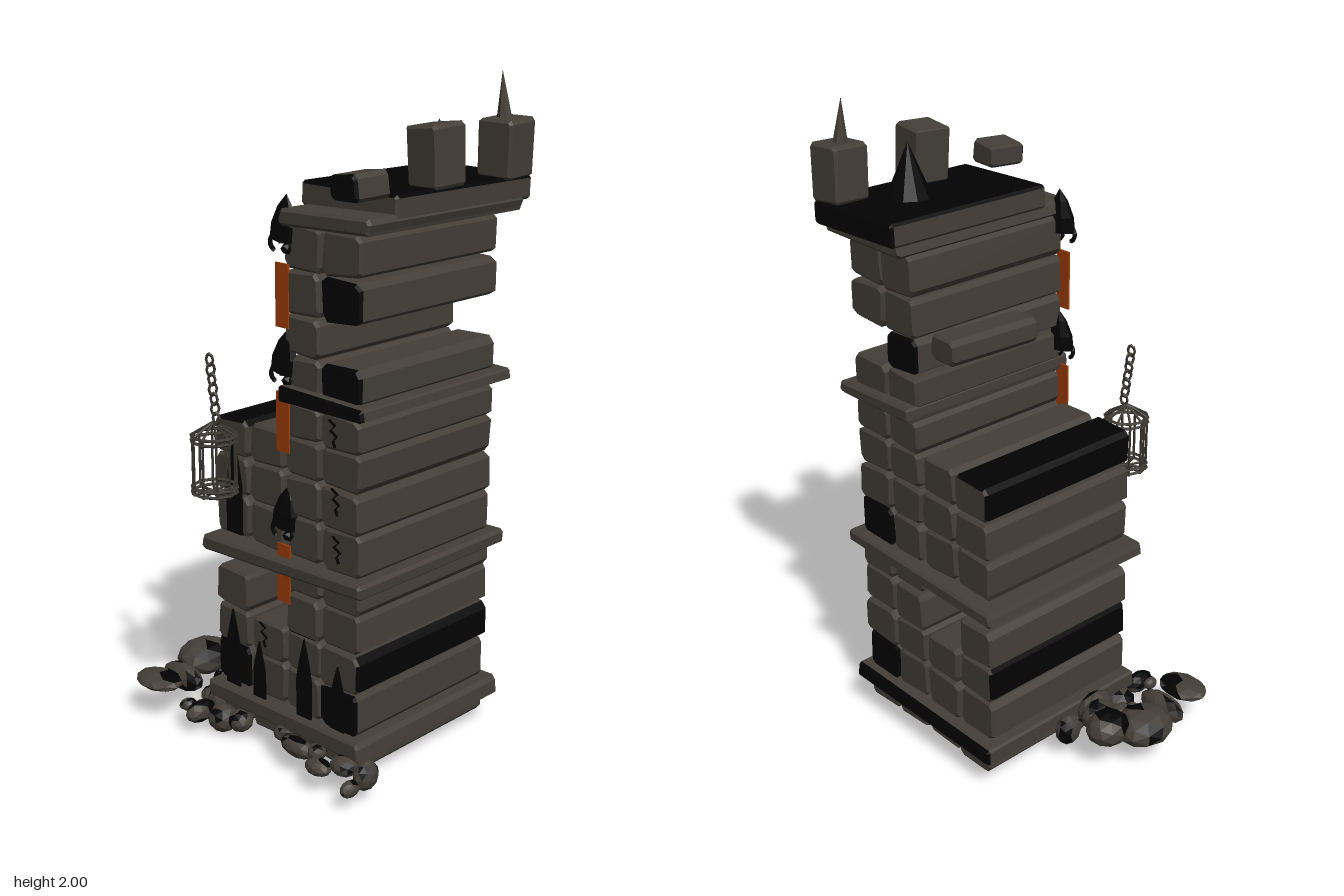
import * as THREE from 'three';
import { mergeGeometries } from 'three/addons/utils/BufferGeometryUtils.js';

const mat = (name, color, side = THREE.FrontSide) => {
  const m = new THREE.MeshStandardMaterial({ color, side, flatShading: true });
  m.name = name;
  return m;
};

export function createModel() {
  const root = new THREE.Group();
  root.name = 'ruinedTower';
  const stone = mat('stone', 0x443e37);
  const dark = mat('darkStone', 0x020202, THREE.DoubleSide);
  const iron = mat('iron', 0x38332d);
  const cloth = mat('orangeCloth', 0xa03c08, THREE.DoubleSide);

  let seed = 7;
  const rnd = () => (seed = (seed * 16807) % 2147483647) / 2147483647;
  const jit = (a) => (rnd() - 0.5) * 2 * a;

  const add = (name, geo, material, x = 0, y = 0, z = 0) => {
    const m = new THREE.Mesh(geo, material);
    m.name = name;
    m.position.set(x, y, z);
    root.add(m);
    return m;
  };

  // Dark faces: those whose normal lies close to one of the given directions
  const paint = (geo, dirs, limit = 0.6) => {
    const g = geo.index ? geo.toNonIndexed() : geo;
    g.clearGroups();
    const p = g.attributes.position, t = new THREE.Triangle(), n = new THREE.Vector3();
    for (let i = 0; i < p.count; i += 3) {
      t.setFromAttributeAndIndices(p, i, i + 1, i + 2).getNormal(n);
      g.addGroup(i, 3, dirs.some((d) => n.dot(d) > limit) ? 1 : 0);
    }
    return g;
  };
  const AXIS = { R: [1, 0, 0], L: [-1, 0, 0], T: [0, 1, 0], U: [0, -1, 0], F: [0, 0, 1], B: [0, 0, -1] };
  const dirs = (s) => [...s].map((k) => new THREE.Vector3(...AXIS[k]));

  // Rough stone running front to back, with chipped edges
  const bar = (name, x0, x1, y0, y1, z0, z1, faces = '', c = 0.02, j = 0.005) => {
    const w = (x1 - x0) / 2, h = (y1 - y0) / 2, b = 0.008;
    const pts = [[w - c, -h], [w, -h + c], [w, h - c], [w - c, h], [-w + c, h], [-w, h - c], [-w, -h + c], [-w + c, -h]]
      .map(([x, y]) => new THREE.Vector2(x + jit(j), y + jit(j)));
    const depth = z1 - z0 - 2 * b;
    const g = new THREE.ExtrudeGeometry(new THREE.Shape(pts), {
      depth, bevelThickness: b, bevelSize: b, bevelOffset: -b, bevelSegments: 1 });
    g.translate(0, 0, -depth / 2);
    return add(name, paint(g, dirs(faces)), [stone, dark], (x0 + x1) / 2, (y0 + y1) / 2, (z0 + z1) / 2);
  };

  // Courses: four columns of long stones; null leaves a gap
  const cols = [[-0.19, -0.05], [-0.04, 0.1], [0.11, 0.245], [0.25, 0.395]];
  const courses = [
    [0.05, 0.12, '', '', '', ''],
    [0.165, 0.29, 'F', '', '', 'FB'],
    [0.295, 0.412, 'L', '', '', 'R'],
    [0.415, 0.535, '', null, 'U', ''],
    [0.54, 0.612, null, null, '', ''],
    [0.65, 0.775, '', '', '', 'B'],
    [0.78, 0.895, '', '', '', ''],
    [0.9, 1.01, 'TL', '', '', ''],
    [1.01, 1.11, null, null, '', ''],
    [1.145, 1.245, null, null, '', 'F'],
    [1.25, 1.36, null, null, 'B', null],
    [1.365, 1.485, null, null, '', 'F'],
    [1.49, 1.61, null, null, '', ''],
  ];
  courses.forEach(([y0, y1, ...f]) => cols.forEach(([x0, x1], i) => {
    if (f[i] !== null) bar('wallStone', x0, x1, y0, y1, -0.335 + jit(0.006), 0.235 + jit(0.004), f[i], 0.015);
  }));
  bar('looseStone', -0.02, 0.095, 1.3, 1.385, -0.29, 0.02).rotation.y = -0.05;

  // Projecting ledges and the roof slab
  bar('baseLedge', -0.21, 0.43, 0.1, 0.16, -0.365, 0.265, 'B', 0.01).rotation.z = 0.02;
  bar('middleLedge', -0.225, 0.435, 0.593, 0.64, -0.365, 0.27, '', 0.01).rotation.z = 0.045;
  bar('upperLedge', 0.11, 0.435, 1.115, 1.16, -0.365, 0.27, 'F', 0.01).rotation.z = -0.02;
  bar('roofLedge', 0.115, 0.45, 1.61, 1.655, -0.375, 0.265, '', 0.01).rotation.z = 0.03;
  bar('roofSlab', 0.097, 0.452, 1.645, 1.715, -0.408, 0.16, 'TB', 0.009, 0.001).rotation.z = -0.015;

  // Broken battlements and roof spikes
  [[0.405, 1.79, -0.343, 0.115, 0.16, 0.12, '', 0.06], [0.4, 1.793, -0.05, 0.115, 0.165, 0.12, '', -0.04],
    [0.4, 1.742, 0.245, 0.105, 0.07, 0.12, 'F', -0.08]].forEach(([x, y, z, w, h, d, f, r]) => {
    const m = bar('battlement', x - w / 2, x + w / 2, y - h / 2, y + h / 2, z - d / 2, z + d / 2, f, 0.009, 0.004);
    m.rotation.set(0.04, r, -r);
  });
  const spike = new THREE.ConeGeometry(0.024, 0.14, 7);
  spike.translate(0, 0.07, 0);
  add('roofSpike', spike, stone, 0.4, 1.86, -0.34).rotation.z = 0.1;
  add('darkRoofCone', new THREE.ConeGeometry(0.068, 0.16, 10), dark, 0.285, 1.79, -0.195);

  // Orange banners beneath dark hooded brackets
  [[1.32, 1.5, 1.56, 1.69], [0.96, 1.135, 1.19, 1.315], [0.5, 0.68, 0.73, 0.86]].forEach(([y0, y1, h0, h1]) => {
    add('banner', new THREE.BoxGeometry(0.05, y1 - y0, 0.006), cloth, 0.105, (y0 + y1) / 2, 0.238);
    const hood = new THREE.LatheGeometry([[0.047, 0], [0.046, 0.35], [0.028, 0.72], [0, 1]]
      .map(([r, y]) => new THREE.Vector2(r, y * (h1 - h0))), 7);
    hood.scale(1, 1, 0.5);
    add('bannerHood', hood, dark, 0.1, h0, 0.23).rotation.z = -0.12;
    add('bannerHook', new THREE.TorusGeometry(0.022, 0.007, 5, 9, 4.4), dark, 0.085, h0 - 0.005, 0.243);
    add('bannerKnob', new THREE.IcosahedronGeometry(0.017, 0), dark, 0.125, h0 - 0.018, 0.24);
  });

  // Pointed windows as thin plates
  [[-0.115, 0.16, 0.41, 0.06], [0, 0.14, 0.34, 0.05], [0.19, 0.15, 0.41, 0.06], [0.325, 0.17, 0.37, 0.055],
    [-0.1, 0.66, 0.96, 0.065]].forEach(([x, y0, y1, w]) => {
    const h = y1 - y0, s = new THREE.Shape();
    s.moveTo(-w / 2, 0).lineTo(w / 2, 0).lineTo(w / 2, h * 0.5);
    s.quadraticCurveTo(w * 0.3, h * 0.75, 0, h).quadraticCurveTo(-w * 0.3, h * 0.75, -w / 2, h * 0.5);
    add('pointedWindow', new THREE.ExtrudeGeometry(s, { depth: 0.006, bevelEnabled: false, curveSegments: 4 }),
      dark, x, y0, 0.239);
  });

  // Cracks: upright zigzag ribbons
  [[0.305, 1.06], [0.315, 0.865], [0.32, 0.725], [0.02, 0.37]].forEach(([x, y]) => {
    const zig = [[-0.012, 0.038], [0.012, 0.024], [-0.006, 0.008], [0.018, -0.006], [0.004, -0.02], [0.012, -0.038]];
    const s = new THREE.Shape([...zig, ...zig.slice().reverse().map(([a, b]) => [a - 0.011, b - 0.005])]
      .map(([a, b]) => new THREE.Vector2(a, b)));
    add('crack', new THREE.ShapeGeometry(s), dark, x, y, 0.242);
  });

  // Hanging cage with its chain
  const cage = new THREE.Group();
  cage.name = 'hangingCage';
  cage.position.set(-0.08, 0, 0.335);
  root.add(cage);
  const parts = [], N = 10, R = 0.064;
  const rod = (a, b, r) => parts.push(new THREE.TubeGeometry(new THREE.LineCurve3(a, b), 1, r, 5).toNonIndexed());
  [0.82, 0.835, 0.975, 0.99].forEach((y) => {
    const g = new THREE.TorusGeometry(R, 0.008, 4, N);
    g.rotateX(Math.PI / 2).scale(1, 0.6, 1).translate(0, y, 0);
    parts.push(g.toNonIndexed());
  });
  for (let i = 0; i < N; i++) {
    const a = (i / N) * Math.PI * 2, x = R * Math.cos(a), z = R * Math.sin(a);
    rod(new THREE.Vector3(x, 0.815, z), new THREE.Vector3(x, 0.99, z), 0.004);
    rod(new THREE.Vector3(x, 0.99, z), new THREE.Vector3(0, 1.03, 0), 0.004);
    rod(new THREE.Vector3(x, 0.82, z), new THREE.Vector3(0, 0.82, 0), 0.004);
  }
  for (let i = 0; i < 7; i++) {
    const g = new THREE.TorusGeometry(0.013, 0.0045, 5, 8);
    g.scale(0.9, 1.25, 1).rotateY(i % 2 ? 1.1 : 0.3);
    g.translate(0.012 - i * 0.004, 1.042 + i * 0.028, 0);
    parts.push(g.toNonIndexed());
  }
  const cageMesh = new THREE.Mesh(mergeGeometries(parts), iron);
  cageMesh.name = 'cageAndChain';
  cage.add(cageMesh);

  // Rubble: centre and half sizes of each boulder, then how far its dark patches spread
  [[-0.398, 0.115, 0.112, 0.088, 0.055, 0.098], [-0.355, 0.14, -0.003, 0.065, 0.055, 0.073, 0.5],
    [-0.357, 0.1, 0.243, 0.087, 0.045, 0.038], [-0.355, 0.125, 0.342, 0.086, 0.024, 0.064],
    [-0.28, 0.13, 0.03, 0.045, 0.05, 0.06], [-0.28, 0.08, 0.13, 0.035, 0.04, 0.05], [-0.24, 0.12, 0.06, 0.04, 0.06, 0.07],
    [-0.24, 0.1, -0.06, 0.035, 0.05, 0.045], [-0.265, 0.06, 0.308, 0.018, 0.018, 0.027],
    [-0.185, 0.07, 0.32, 0.03, 0.035, 0.055, 0.5], [-0.225, 0.08, 0.33, 0.02, 0.022, 0.025],
    [-0.14, 0.045, 0.27, 0.05, 0.045, 0.045], [-0.08, 0.05, 0.25, 0.04, 0.035, 0.04], [-0.2, 0.06, 0.2, 0.06, 0.05, 0.06],
    [-0.26, 0.05, 0.19, 0.05, 0.03, 0.05], [-0.16, 0.06, 0.02, 0.06, 0.04, 0.07], [-0.12, 0.045, 0.14, 0.05, 0.035, 0.06],
    [0.205, 0.085, 0.285, 0.065, 0.03, 0.03], [0.32, 0.08, 0.315, 0.045, 0.025, 0.033],
    [0.27, 0.09, 0.27, 0.03, 0.025, 0.03], [0.38, 0.09, 0.27, 0.045, 0.03, 0.04],
    [0.455, 0.085, 0.26, 0.03, 0.045, 0.045], [0.45, 0.065, 0.32, 0.022, 0.025, 0.035], [0.12, 0.09, 0.26, 0.03, 0.025, 0.03],
  ].forEach(([x, y, z, a, b, c, spread = 0.88]) => {
    const patches = [0.9, 0.3, -0.5].map((up) => new THREE.Vector3(jit(1), up, jit(1)).normalize());
    const g = paint(new THREE.IcosahedronGeometry(1, 1).rotateY(rnd() * 3), patches, spread);
    add('rubble', g.scale(a, b, c), [stone, dark], x, y, z);
  });
  return root;
}
